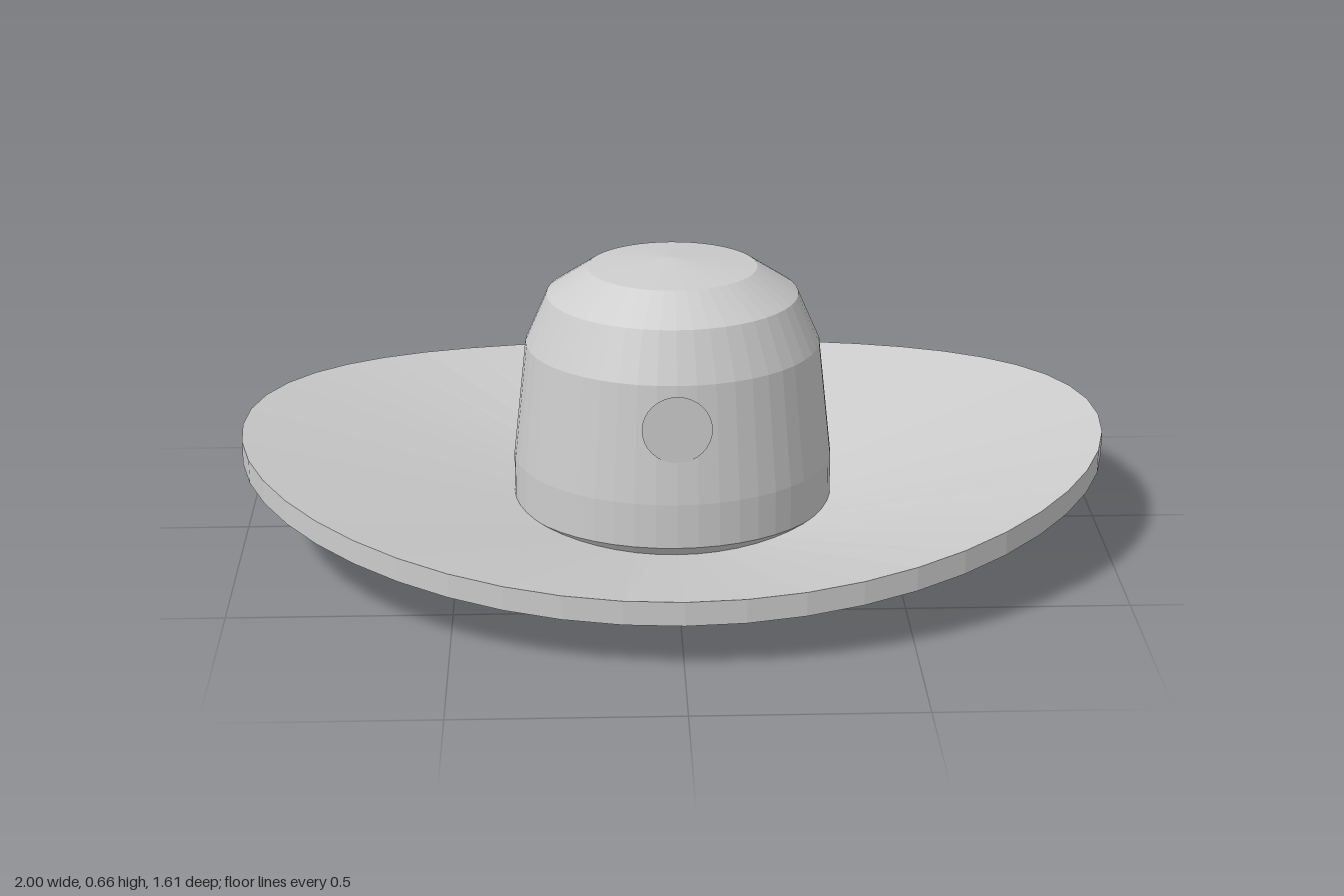
import * as THREE from 'three';

const SIDES = 48;

// Revolve a profile of [radius, height] pairs, listed so the outside faces out
function revolve(profile) {
  return new THREE.LatheGeometry(profile.map(([r, y]) => new THREE.Vector2(r, y)), SIDES);
}

export function createModel() {
  const felt = new THREE.MeshStandardMaterial({ color: 0xcccccc, flatShading: true, side: THREE.DoubleSide });
  felt.name = 'grey felt';
  const hat = new THREE.Group();
  hat.name = 'hat';

  function add(name, geometry) {
    const mesh = new THREE.Mesh(geometry, felt);
    mesh.name = name;
    hat.add(mesh);
    return mesh;
  }

  // Brim: a thick sloping ring, made oval and curled up at both sides
  const inner = 0.34;
  const brim = revolve([[inner, 0.0175], [1, 0.1625], [1, 0.2175], [inner, 0.0725], [inner, 0.0175]]);
  const p = brim.attributes.position;
  for (let i = 0; i < p.count; i++) {
    const x = p.getX(i), z = p.getZ(i), r = Math.hypot(x, z);
    const t = (r - inner) / (1 - inner);
    const cos2 = (x * x - z * z) / (r * r);
    p.setY(i, p.getY(i) + THREE.MathUtils.lerp(0.0125, 0.0475, t) * cos2);
    p.setZ(i, z * THREE.MathUtils.lerp(0.912, 0.805, t));
  }
  brim.computeVertexNormals();
  add('brim', brim);

  // Crown: hollow oval shell with a small tucked lip at its foot
  const crown = revolve([
    [0.345, 0.05], [0.371, 0.085], [0.37, 0.19], [0.34, 0.465],
    [0.29, 0.58], [0.195, 0.643], [0, 0.663],
  ]);
  crown.scale(1, 1, 0.91);
  add('crown', crown);

  // Badge: flat disc set into the front of the crown
  const badge = add('badge', new THREE.CircleGeometry(0.079, 32));
  badge.position.set(0, 0.367, 0.327);

  return hat;
}
